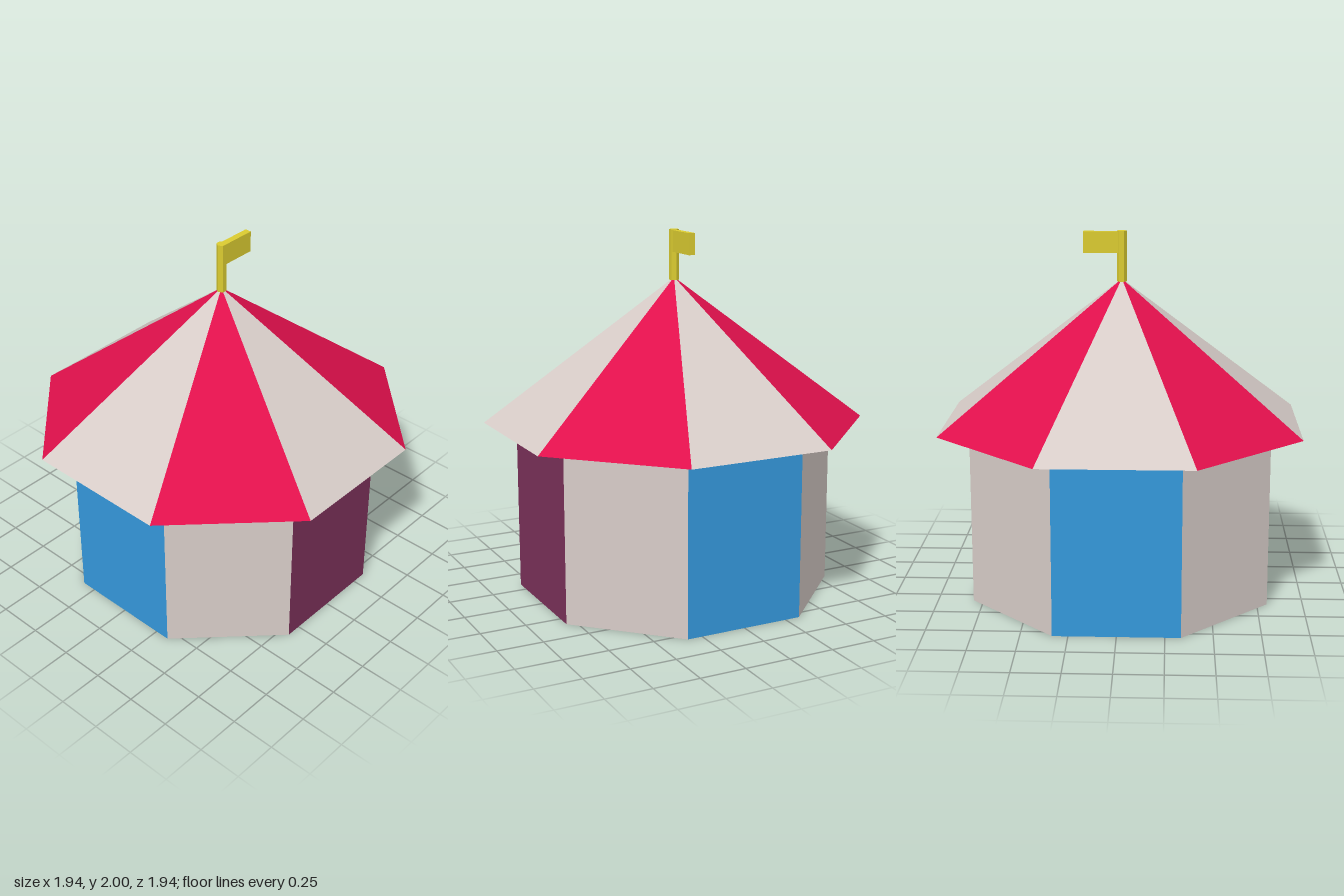
import * as THREE from 'three';

const material = (name, color) => {
  const m = new THREE.MeshStandardMaterial({ color, flatShading: true });
  m.name = name;
  return m;
};

export function createModel() {
  const cream = material('cream canvas', 0xd7ccc8);
  const red = material('red canvas', 0xe0104c);
  const blue = material('blue wall', 0x3498db);
  const purple = material('purple door', 0x7c315a);
  const yellow = material('yellow flag', 0xdacb30);

  const SIDES = 8;
  const STEP = (Math.PI * 2) / SIDES;
  const WALL_RADIUS = 0.805 / Math.cos(STEP / 2);
  const ROOF_RADIUS = 0.97 / Math.cos(STEP / 2);
  const EAVES = 0.947;
  const APEX = 1.74;

  const model = new THREE.Group();
  model.name = 'tent';

  const add = (parent, name, geometry, mat, x = 0, y = 0, z = 0) => {
    const mesh = new THREE.Mesh(geometry, mat);
    mesh.name = name;
    mesh.position.set(x, y, z);
    parent.add(mesh);
    return mesh;
  };

  // One flat side of an octagonal prism or pyramid; side 0 faces the front
  const panel = (top, bottom, height, i) =>
    new THREE.CylinderGeometry(top, bottom, height, 1, 1, true, (i - 0.5) * STEP, STEP);

  // Flat octagon facing down
  const octagon = (radius) =>
    new THREE.CircleGeometry(radius, SIDES, STEP / 2).rotateX(Math.PI / 2);

  const walls = new THREE.Group();
  walls.name = 'walls';
  const roof = new THREE.Group();
  roof.name = 'roof';
  model.add(walls, roof);

  for (let i = 0; i < SIDES; i++) {
    const diagonal = i % 2 === 1;

    // Walls: cream corners, blue sides and back, purple entrance at the front
    const wallMat = diagonal ? cream : i === 0 ? purple : blue;
    const wallName = i === 0 ? 'door' : 'wallPanel';
    add(walls, wallName, panel(WALL_RADIUS, WALL_RADIUS, EAVES, i), wallMat, 0, EAVES / 2);

    // Roof: alternating cream and red stripes
    add(roof, 'roofPanel', panel(0, ROOF_RADIUS, APEX - EAVES, i),
      diagonal ? red : cream, 0, (EAVES + APEX) / 2);
  }

  // Floor and underside of the eaves
  add(walls, 'floor', octagon(WALL_RADIUS), cream);
  add(roof, 'roofUnderside', octagon(ROOF_RADIUS), cream, 0, EAVES);

  // Flagpole and pennant
  const pole = new THREE.CylinderGeometry(0.027, 0.027, 0.274, 6).rotateY(Math.PI / 6);
  add(model, 'flagpole', pole, yellow, 0, 1.863);
  add(model, 'flag', new THREE.BoxGeometry(0.2, 0.116, 0.036), yellow, 0.108, 1.938);

  return model;
}
